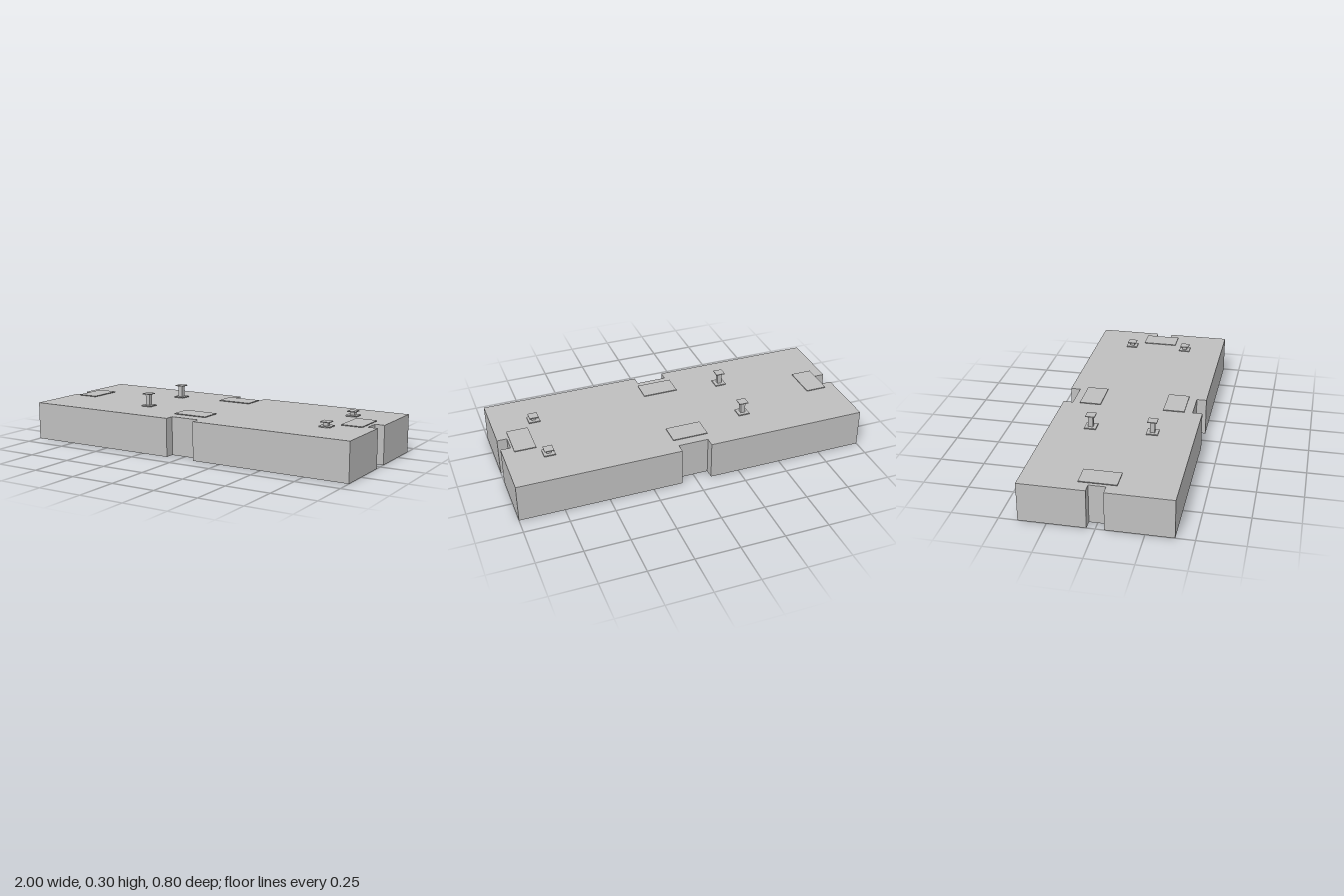
import * as THREE from 'three';

const BODY_TOP = 0.216;
const DECK = 0.222; // underside of the fittings

export function createModel() {
  const model = new THREE.Group();
  const grey = new THREE.MeshStandardMaterial({ color: 0xbfbfbf });
  grey.name = 'grey';

  // box spanning heights y0 to y1
  const slab = (parent, name, w, d, y0, y1, x = 0, z = 0) => {
    const mesh = new THREE.Mesh(new THREE.BoxGeometry(w, y1 - y0, d), grey);
    mesh.name = name;
    mesh.position.set(x, (y0 + y1) / 2, z);
    parent.add(mesh);
  };

  // hull: rectangle with a notch in the middle of each side
  const quarter = [[1, 0.045], [1, 0.4], [0.085, 0.4], [0.085, 0.345]];
  const flip = (sx, sy) => quarter.map(([x, y]) => new THREE.Vector2(x * sx, y * sy));
  const inner = (s) => [new THREE.Vector2(0.945 * s, -0.045 * s), new THREE.Vector2(0.945 * s, 0.045 * s)];
  const outline = [
    ...inner(1), ...flip(1, 1), ...flip(-1, 1).reverse(),
    ...inner(-1), ...flip(-1, -1), ...flip(1, -1).reverse(),
  ];
  const hullGeometry = new THREE.ExtrudeGeometry(new THREE.Shape(outline), { depth: BODY_TOP, bevelEnabled: false });
  hullGeometry.rotateX(-Math.PI / 2);
  const hull = new THREE.Mesh(hullGeometry, grey);
  hull.name = 'hull';
  model.add(hull);

  // cover plates beside the notches
  for (const s of [-1, 1]) {
    slab(model, 'sidePlate', 0.2, 0.12, DECK, 0.2265, 0, 0.24 * s);
    slab(model, 'endPlate', 0.12, 0.2, DECK, 0.2265, 0.875 * s, 0);
  }

  // bollards: a tall pair and a short pair
  for (const [x, top, name] of [[-0.365, 0.296, 'tallBollard'], [0.765, 0.251, 'shortBollard']]) {
    for (const z of [-0.17, 0.17]) {
      const bollard = new THREE.Group();
      bollard.name = name;
      bollard.position.set(x, 0, z);
      slab(bollard, 'base', 0.064, 0.064, DECK, 0.228);
      slab(bollard, 'post', 0.026, 0.026, 0.228, top - 0.005);
      slab(bollard, 'cap', 0.052, 0.052, top - 0.005, top);
      model.add(bollard);
    }
  }
  return model;
}
